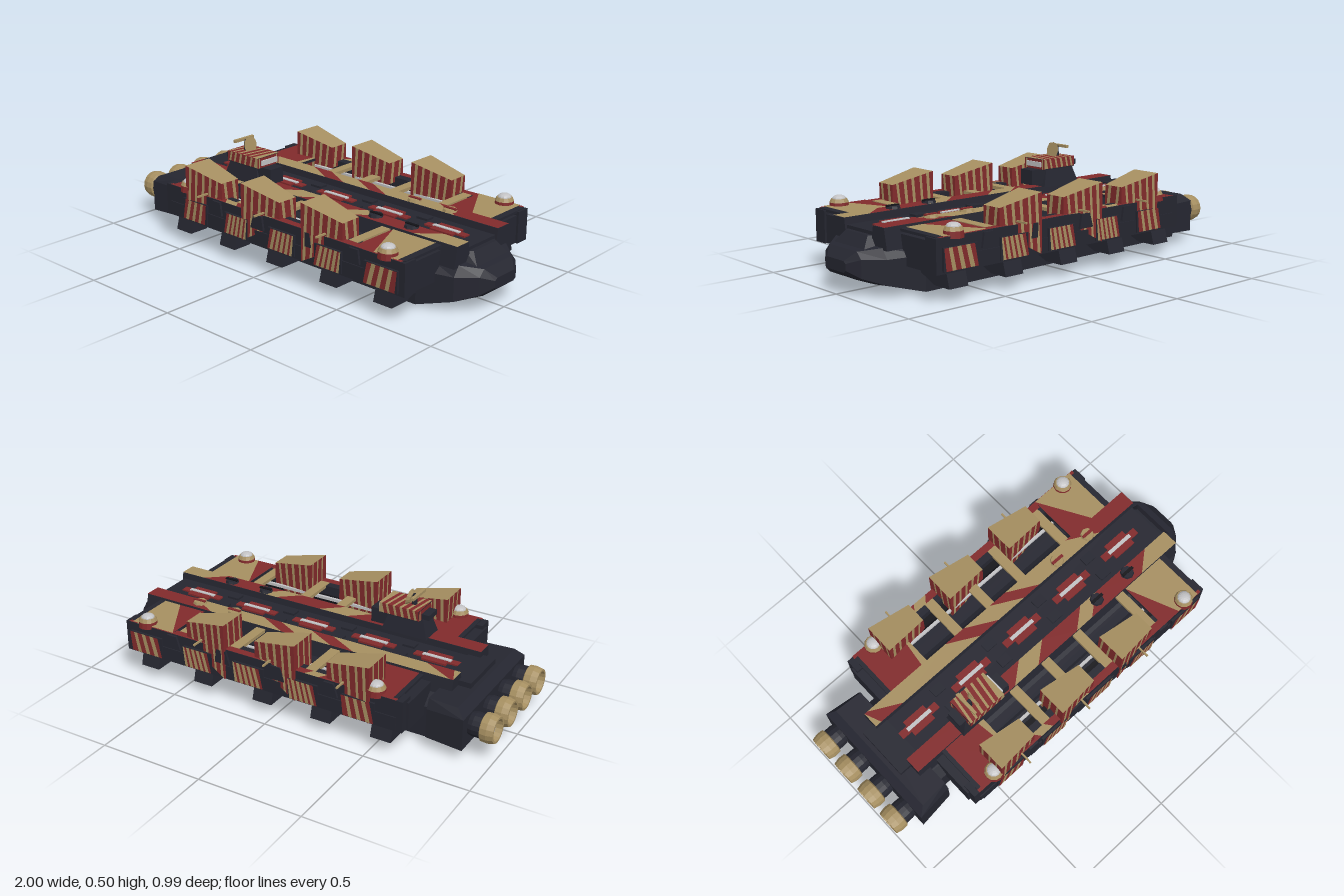
import * as THREE from 'three';
import { ConvexGeometry } from 'three/addons/geometries/ConvexGeometry.js';

const mat = (name, color, side = THREE.DoubleSide) =>
  Object.assign(new THREE.MeshStandardMaterial({ color, side, flatShading: true }), { name });

export function createModel() {
  const dark = mat('darkHull', 0x252630), red = mat('redPaint', 0x812a2b), tan = mat('tanPaint', 0xa68f61),
    grey = mat('lightGrey', 0xc2c2c4), black = mat('blackRecess', 0x131318);
  const root = new THREE.Group();
  root.name = 'armouredShip';
  const V = (x, y, z) => new THREE.Vector3(x, y, z);

  const add = (name, geo, material) => {
    const m = new THREE.Mesh(geo, material);
    m.name = name;
    root.add(m);
    return m;
  };
  // box given by its limits on each axis
  const box = (name, material, x0, x1, y0, y1, z0, z1) => {
    const m = add(name, new THREE.BoxGeometry(x1 - x0, y1 - y0, Math.abs(z1 - z0)), material);
    m.position.set((x0 + x1) / 2, (y0 + y1) / 2, (z0 + z1) / 2);
    return m;
  };
  const convex = (name, material, pts) => add(name, new ConvexGeometry(pts.map(p => V(...p))), material);
  // vertical cylinder
  const drum = (name, material, r0, r1, h, x, y, z, n = 12) => {
    const m = add(name, new THREE.CylinderGeometry(r1, r0, h, n), material);
    m.position.set(x, y + h / 2, z);
    return m;
  };
  // quad a-b-c-d painted in alternating bands; cuts run along a-b, slant shifts the lower edge
  const striped = (name, a, b, c, d, cuts, slant = 0, mats = [red, tan]) => {
    const [A, B, C, D] = [a, b, c, d].map(p => V(...p));
    const clamp = u => Math.min(1, Math.max(0, u));
    const lists = [[], []];
    const edges = [-9, ...cuts, 9];
    for (let i = 0; i < edges.length - 1; i++) {
      const [u, v] = [edges[i], edges[i + 1]];
      const t0 = A.clone().lerp(B, clamp(u)), t1 = A.clone().lerp(B, clamp(v));
      const b0 = D.clone().lerp(C, clamp(u + slant)), b1 = D.clone().lerp(C, clamp(v + slant));
      for (const p of [t0, b0, b1, t0, b1, t1]) lists[i % 2].push(p.x, p.y, p.z);
    }
    lists.forEach((l, k) => {
      const g = new THREE.BufferGeometry();
      g.setAttribute('position', new THREE.Float32BufferAttribute(l, 3));
      g.computeVertexNormals();
      add(name, g, mats[k]);
    });
  };
  const SIDE = [0.1, 0.17, 0.28, 0.34, 0.47, 0.54, 0.66, 0.73, 0.85, 0.91];
  const PANEL = [0.14, 0.26, 0.34, 0.46, 0.54, 0.66, 0.74, 0.86, 0.94];

  // main hull: lofted cross-sections [x, bottom (z,y), lower side, upper side, deck edge]
  const sections = [
    [-0.84, 0.12, 0.015, 0.25, 0.022, 0.25, 0.17, 0.2, 0.22],
    [0.72, 0.11, 0.003, 0.25, 0.012, 0.25, 0.17, 0.19, 0.22],
    [0.88, 0.11, 0.045, 0.2, 0.055, 0.2, 0.165, 0.17, 0.21],
    [0.96, 0.1, 0.075, 0.13, 0.085, 0.13, 0.165, 0.1, 0.195],
    [1.0, 0.06, 0.105, 0.075, 0.115, 0.075, 0.145, 0.06, 0.155]];
  const pos = [], idx = [];
  for (const [x, ...p] of sections) {
    for (let i = 0; i < 4; i++) pos.push(x, p[2 * i + 1], p[2 * i]);
    for (let i = 3; i >= 0; i--) pos.push(x, p[2 * i + 1], -p[2 * i]);
  }
  for (let s = 0; s < 4; s++) for (let i = 0; i < 8; i++) {
    const a = s * 8 + i, b = s * 8 + (i + 1) % 8;
    idx.push(a, b, a + 8, b, b + 8, a + 8);
  }
  for (let i = 1; i < 7; i++) idx.push(0, i + 1, i, 32, 32 + i, 33 + i);
  const hullGeo = new THREE.BufferGeometry();
  hullGeo.setAttribute('position', new THREE.Float32BufferAttribute(pos, 3));
  hullGeo.setIndex(idx.flatMap((_, i) => i % 3 ? [] : [idx[i], idx[i + 2], idx[i + 1]]));
  const flatHull = hullGeo.toNonIndexed();
  flatHull.computeVertexNormals();
  add('hull', flatHull, dark);

  // centre deck with red cross hatches
  box('centreDeck', dark, -0.76, 0.87, 0.2, 0.265, -0.12, 0.12);
  convex('bowStep', dark, [-1, 1].flatMap(s => [[0.86, 0.2, s * 0.13], [0.93, 0.2, s * 0.11], [0.86, 0.25, s * 0.1], [0.89, 0.25, s * 0.08]]));
  for (let i = 0; i < 5; i++) {
    const x = -0.595 + i * 0.32;
    box('hatchArm', red, x - 0.11, x + 0.11, 0.265, 0.272, -0.018, 0.018);
    box('hatchCross', red, x - 0.06, x + 0.06, 0.265, 0.274, -0.042, 0.042);
    box('hatchBar', grey, x - 0.07, x + 0.07, 0.27, 0.278, -0.009, 0.009);
    if (i < 4) for (const s of [-1, 1]) box('deckBlock', dark, x + 0.13, x + 0.19, 0.26, 0.275, s * 0.03, s * 0.075);
  }

  // stern block and four engines
  convex('sternBlock', dark, [-1, 1].flatMap(s => [
    [-0.88, 0.06, s * 0.33], [-0.88, 0.21, s * 0.33], [-0.84, 0.245, s * 0.3], [-0.7, 0.06, s * 0.31], [-0.7, 0.245, s * 0.29], [-0.7, 0.2, s * 0.31]]));
  box('sternDeck', dark, -0.82, -0.7, 0.2, 0.27, -0.13, 0.13);
  const alongX = (name, material, profile, z) => {
    const m = add(name, new THREE.LatheGeometry(profile.map(p => new THREE.Vector2(...p)), 16), material);
    m.rotation.z = Math.PI / 2;
    m.position.set(-0.87, 0.15, z);
  };
  for (const z of [-0.235, -0.08, 0.08, 0.235]) {
    alongX('engineCollar', dark, [[0.05, 0], [0.056, 0.03], [0.056, 0.075]], z);
    alongX('engineBell', tan, [[0.056, 0.065], [0.065, 0.07], [0.067, 0.1], [0.06, 0.13], [0.05, 0.13], [0.046, 0.1]], z);
    alongX('engineCore', grey, [[0, 0.1], [0.03, 0.104], [0.05, 0.1]], z);
  }

  for (const s of [-1, 1]) {
    // raised rail with diagonal camouflage
    convex('rail', dark, [-0.76, 0.88].flatMap(x => [[x, 0.2, s * 0.2], [x, 0.2, s * 0.09], [x, 0.295, s * 0.182], [x, 0.295, s * 0.105]]));
    striped('railPaint', [-0.76, 0.297, s * 0.104], [0.88, 0.297, s * 0.104], [0.88, 0.297, s * 0.184], [-0.76, 0.297, s * 0.184],
      s < 0 ? [0.02, 0.1, 0.39, 0.46, 0.56, 0.62, 0.86] : [0.42, 0.51, 0.66, 0.72, 0.92], s < 0 ? -0.09 : -0.06, s < 0 ? [tan, red] : [red, tan]);
    for (const x of [0.4, 0.6]) {
      drum('railMount', s < 0 ? tan : dark, 0.034, 0.03, 0.012, x, 0.297, s * 0.135, 8);
      box('railMountBar', s < 0 ? red : black, x - 0.03, x + 0.035, 0.307, 0.314, s * 0.128, s * 0.142);
    }

    // side bay: floor, end walls and outer armour
    box('bayFloor', dark, -0.64, 0.8, 0.13, 0.19, s * 0.2, s * 0.42);
    box('aftWall', dark, -0.66, -0.6, 0.13, 0.262, s * 0.19, s * 0.4);
    box('foreWall', dark, 0.74, 0.8, 0.13, 0.262, s * 0.19, s * 0.4);
    box('armourWall', dark, -0.65, 0.81, 0.13, 0.28, s * 0.365, s * 0.435);
    box('armourSkirt', dark, -0.62, 0.77, 0.135, 0.2, s * 0.36, s * 0.44);
    striped('armourTop', [-0.62, 0.283, s * 0.4], [0.79, 0.283, s * 0.4], [0.79, 0.283, s * 0.437], [-0.62, 0.283, s * 0.437],
      [0.25, 0.3, 0.4, 0.46, 0.64, 0.7, 0.9, 0.95], 0.02);

    // end decks
    box('aftDeck', dark, -0.62, -0.38, 0.272, 0.284, s * 0.18, s * 0.42);
    striped('aftDeckPaint', [-0.6, 0.286, s * 0.185], [-0.38, 0.286, s * 0.185], [-0.38, 0.286, s * 0.43], [-0.6, 0.286, s * 0.43], [0.85], 0.5);
    box('foreDeck', dark, 0.54, 0.8, 0.272, 0.284, s * 0.18, s * 0.42);
    striped('foreDeckPaint', [0.54, 0.286, s * 0.185], [0.77, 0.286, s * 0.185], [0.77, 0.286, s * 0.435], [0.54, 0.286, s * 0.435],
      s < 0 ? [0.62] : [-0.05], s < 0 ? -0.75 : 0.5);

    // beams, pipes and rod inside the bay
    for (const x of [-0.18, 0.02, 0.22, 0.5]) box('crossBeam', tan, x - 0.024, x + 0.024, 0.268, 0.284, s * 0.18, s * 0.4);
    box('bayRod', grey, -0.38, 0.54, 0.24, 0.254, s * 0.302, s * 0.316);
    box('bayPipe', black, -0.6, 0.74, 0.19, 0.235, s * 0.33, s * 0.365);
    box('bayDuct', dark, -0.6, 0.74, 0.19, 0.245, s * 0.225, s * 0.275);

    // underside brackets
    for (const x of [-0.545, -0.245, 0.06, 0.385, 0.69])
      convex('bracket', dark, [-0.05, 0.05].flatMap(d => [
        [x + d, 0.06, s * 0.43], [x + d, 0.06, s * 0.335], [x + d, 0.15, s * 0.405], [x + d, 0.15, s * 0.24], [x + d, 0.1, s * 0.24]]));

    // striped armour panels and their dark shoulder plates
    [[-0.52, -0.36], [-0.24, -0.09], [0.04, 0.2], [0.32, 0.475], [0.6, 0.78]].forEach(([x0, x1], i) => {
      box('panelBack', dark, x0, x1, 0.14, 0.24, s * 0.43, s * 0.446);
      striped('armourPanel', [x0 + 0.02, 0.24, s * 0.45], [x1, 0.24, s * 0.45], [x1 - 0.01, 0.142, s * 0.45], [x0, 0.142, s * 0.45],
        i % 4 ? PANEL : [0.16, 0.3, 0.45, 0.58, 0.74, 0.86], -0.05);
      if (i < 4) convex('shoulderPlate', dark, [0.43, 0.446].flatMap(z => [
        [x1 + 0.02, 0.21, s * z], [x1 + 0.1, 0.21, s * z], [x1 + 0.04, 0.275, s * z], [x1 + 0.09, 0.275, s * z]]));
    });

    // wedge casemates, tall at the rear
    for (const x of [-0.495, -0.125, 0.245]) {
      const e = x + 0.22;
      const at = (px, y, z) => [px, y, s * z];
      const [ro, ri, fo, fi] = [at(x, 0.405, 0.448), at(x, 0.405, 0.3), at(e, 0.36, 0.425), at(e, 0.36, 0.322)];
      const [bro, bri, bfo, bfi] = [at(x, 0.135, 0.448), at(x, 0.135, 0.3), at(e, 0.255, 0.425), at(e, 0.255, 0.322)];
      striped('casemateOuter', ro, fo, bfo, bro, SIDE, -0.07);
      striped('casemateInner', ri, fi, bfi, bri, SIDE, -0.07);
      striped('casemateRear', ro, ri, bri, bro, [0.2, 0.28, 0.5, 0.58, 0.8, 0.88], 0.08);
      striped('casemateFront', fo, fi, bfi, bfo, [0.12, 0.28, 0.62, 0.8], 0.12);
      striped('casemateRoof', ro, ri, fi, fo, [], 0, [tan, red]);
      striped('casemateBase', bro, bri, bfi, bfo, [], 0, [red, tan]);
      // side antenna beside each casemate
      box('antenna', tan, x + 0.127, x + 0.135, 0.29, 0.298, s * 0.42, s * 0.495);
    }

    // domed turrets
    for (const x of [-0.51, 0.7]) {
      drum('turretBase', red, 0.046, 0.042, 0.03, x, 0.27, s * 0.41);
      drum('turretRing', tan, 0.044, 0.036, 0.016, x, 0.3, s * 0.41);
      const dome = add('turretDome', new THREE.SphereGeometry(0.032, 12, 5, 0, Math.PI * 2, 0, Math.PI / 2), grey);
      dome.scale.y = 0.55;
      dome.position.set(x, 0.315, s * 0.41);
    }
  }

  // bridge tower on the left rail
  convex('bridgeTower', dark, [[0.295, 0.06, 0.03], [0.385, 0.04, 0]].flatMap(([y, w, k]) =>
    [-1, 1].flatMap(t => [[-0.47 - k, y, 0.14 + t * w], [-0.3 + k, y, 0.14 + t * w]])));
  box('bridgeFrontBlock', dark, -0.31, -0.205, 0.31, 0.382, 0.1, 0.18);
  box('bridgeHead', dark, -0.46, -0.262, 0.38, 0.43, 0.074, 0.208);
  const HX = [0.1, 0.16, 0.25, 0.31, 0.42, 0.49, 0.6, 0.66, 0.78, 0.84, 0.93];
  for (const z of [0.072, 0.21]) striped('bridgeSide', [-0.46, 0.432, z], [-0.26, 0.432, z], [-0.26, 0.385, z], [-0.46, 0.385, z], HX, -0.06);
  striped('bridgeRoof', [-0.46, 0.432, 0.072], [-0.26, 0.432, 0.072], [-0.26, 0.432, 0.21], [-0.46, 0.432, 0.21], HX, -0.1);
  for (const x of [-0.462, -0.26]) striped('bridgeEnd', [x, 0.43, 0.072], [x, 0.43, 0.21], [x, 0.382, 0.21], [x, 0.382, 0.072], [0.06, 0.12, 0.88, 0.94]);
  box('bridgeWindow', grey, -0.258, -0.25, 0.394, 0.418, 0.09, 0.19);
  box('bridgeRear', dark, -0.5, -0.46, 0.385, 0.41, 0.1, 0.18);

  // radar dish and bar
  drum('radarMast', dark, 0.014, 0.01, 0.05, -0.405, 0.43, 0.14, 8);
  const dish = add('radarDish', new THREE.CylinderGeometry(0.04, 0.025, 0.014, 12), tan);
  dish.rotation.z = -Math.PI / 2 + 0.2;
  dish.position.set(-0.385, 0.459, 0.14);
  box('radarBar', tan, -0.43, -0.415, 0.474, 0.487, 0.08, 0.202);

  return root;
}
